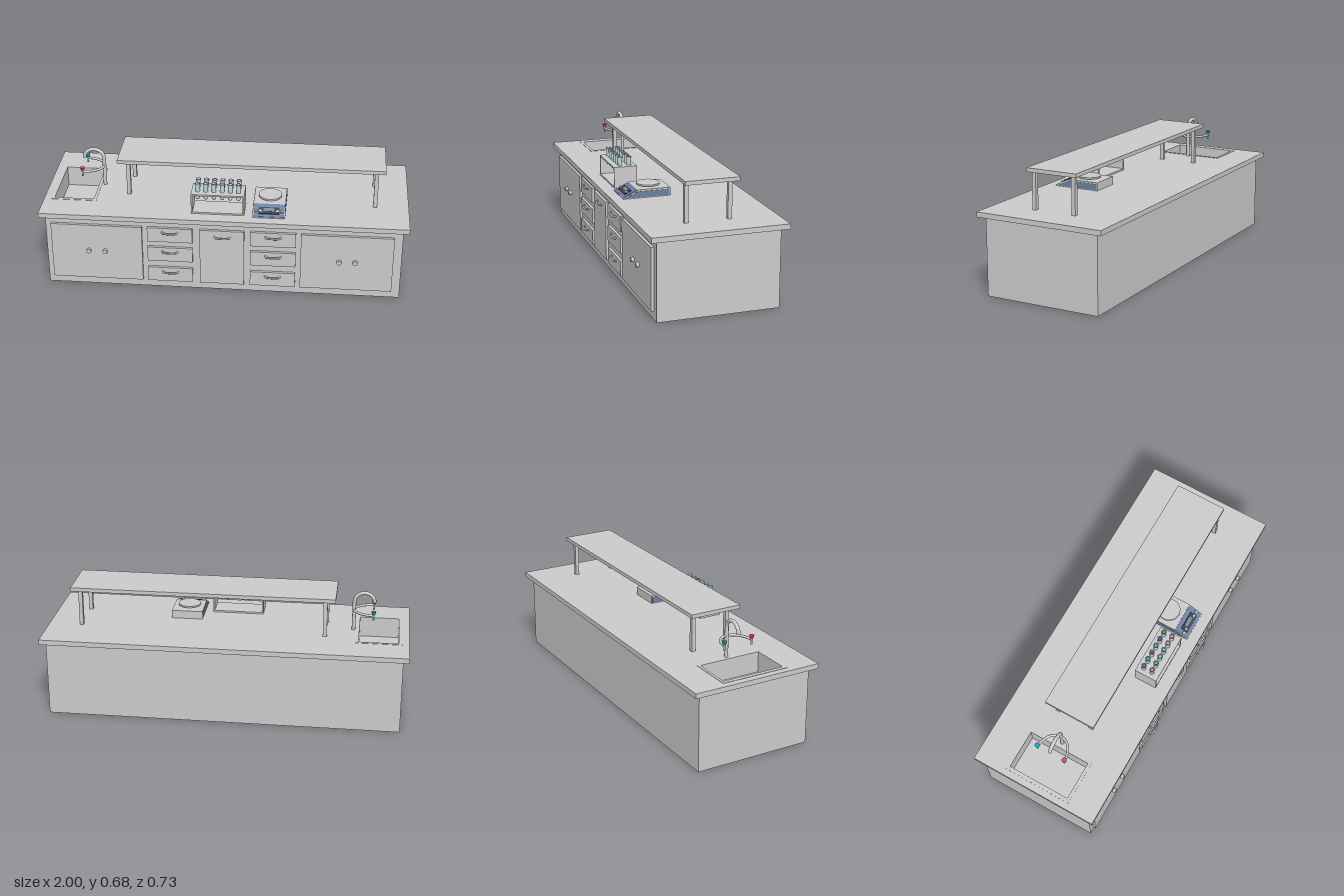
import * as THREE from 'three';

const mat = (color, side = THREE.FrontSide) => new THREE.MeshStandardMaterial({ color, side });
const grey = mat(0xcccccc);
const greyDouble = mat(0xcccccc, THREE.DoubleSide);
const glass = mat(0xc0dadb, THREE.DoubleSide);
const blue = mat(0x6a80a0);
const dark = mat(0x39424f);

function add(parent, name, geometry, material = grey) {
  const mesh = new THREE.Mesh(geometry, material);
  mesh.name = name;
  parent.add(mesh);
  return mesh;
}

// Box given by its minimum and maximum on each axis
function box(parent, name, x0, x1, y0, y1, z0, z1, material) {
  const g = new THREE.BoxGeometry(x1 - x0, y1 - y0, z1 - z0);
  g.translate((x0 + x1) / 2, (y0 + y1) / 2, (z0 + z1) / 2);
  return add(parent, name, g, material);
}

// The same box with its top face left out
function openBox(...args) {
  const mesh = box(...args);
  const index = Array.from(mesh.geometry.index.array);
  index.splice(12, 6);
  mesh.geometry.clearGroups();
  mesh.geometry.setIndex(index);
  return mesh;
}

function cylinder(parent, name, rTop, rBottom, h, x, y, z, material, sides = 24) {
  const mesh = add(parent, name, new THREE.CylinderGeometry(rTop, rBottom, h, sides), material);
  mesh.position.set(x, y, z);
  return mesh;
}

function tube(parent, name, points, radius, segments) {
  const curve = new THREE.CatmullRomCurve3(points.map(p => new THREE.Vector3(...p)));
  const mesh = add(parent, name, new THREE.TubeGeometry(curve, segments, radius, 12));
  // Closed ends
  for (const t of [0, 1]) {
    const cap = add(mesh, 'tubeEnd', new THREE.CircleGeometry(radius, 12), greyDouble);
    cap.position.copy(curve.getPoint(t));
    cap.lookAt(cap.position.clone().add(curve.getTangent(t)));
  }
  return mesh;
}

function rectPath(x0, x1, z0, z1, Type = THREE.Path) {
  return new Type([[x0, -z0], [x0, -z1], [x1, -z1], [x1, -z0]].map(p => new THREE.Vector2(...p)));
}

// Horizontal slab with one rectangular hole
function slab(parent, name, outer, hole, y, h) {
  const shape = rectPath(...outer, THREE.Shape);
  shape.holes.push(rectPath(...hole));
  const g = new THREE.ExtrudeGeometry(shape, { depth: h, bevelEnabled: false });
  g.rotateX(-Math.PI / 2).translate(0, y, 0);
  return add(parent, name, g);
}

// Side profile of [z, y] points, extruded across x
function sideProfile(parent, name, points, x, width, material) {
  const shape = new THREE.Shape(points.map(p => new THREE.Vector2(...p)));
  const g = new THREE.ExtrudeGeometry(shape, { depth: width, bevelEnabled: false });
  g.translate(0, 0, -width / 2).rotateY(-Math.PI / 2).translate(x, 0, 0);
  return add(parent, name, g, material);
}

function addCabinet(root) {
  const cabinet = new THREE.Group();
  cabinet.name = 'cabinet';
  root.add(cabinet);
  openBox(cabinet, 'body', -0.97, 0.97, 0, 0.425, -0.328, 0.328, greyDouble);
  const front = (name, x0, x1, y0, y1) => box(cabinet, name, x0, x1, y0, y1, 0.328, 0.343);
  const handle = (x, y) => tube(cabinet, 'handle', [
    [x - 0.042, y, 0.341], [x - 0.036, y - 0.001, 0.354], [x - 0.02, y - 0.001, 0.36],
    [x + 0.02, y - 0.001, 0.36], [x + 0.036, y - 0.001, 0.354], [x + 0.042, y, 0.341]], 0.005, 32);

  // Wide doors with paired knobs
  for (const [x0, knobs] of [[-0.94, [-0.735, -0.645]], [0.425, [0.634, 0.72]]]) {
    front('door', x0, x0 + 0.5, 0.045, 0.38);
    for (const x of knobs) cylinder(cabinet, 'knob', 0.013, 0.013, 0.016, x, 0.222, 0.351).rotation.x = Math.PI / 2;
  }
  // Two stacks of drawers
  for (const x0 of [-0.411, 0.151]) {
    for (const y0 of [0.045, 0.173, 0.295]) {
      front('drawer', x0, x0 + 0.247, y0, y0 + 0.086);
      handle(x0 + 0.124, y0 + 0.062);
    }
  }
  front('middleDoor', -0.124, 0.118, 0.045, 0.38);
  handle(0, 0.343);
}

function addSink(root) {
  const inner = [-0.943, -0.725, -0.172, 0.182];
  slab(root, 'countertop', [-1, 1, -0.365, 0.365], inner, 0.425, 0.028);
  slab(root, 'sinkRim', [-0.965, -0.71, -0.187, 0.2], inner, 0.453, 0.002);
  openBox(root, 'sinkBasin', inner[0], inner[1], 0.34, 0.453, inner[2], inner[3], greyDouble);

  // Swan-neck tap with a curved cross bar and two valves
  const tap = new THREE.Group();
  tap.name = 'tap';
  root.add(tap);
  const zc = 0.004;
  const neck = [[-0.692, 0.453, zc], [-0.692, 0.53, zc], [-0.692, 0.59, zc]];
  for (let i = 0; i <= 8; i++) {
    const a = (i / 8) * Math.PI;
    neck.push([-0.747 + 0.055 * Math.cos(a), 0.617 + 0.053 * Math.sin(a), zc]);
  }
  tube(tap, 'spout', neck, 0.01, 64);
  const bar = [];
  for (let i = 0; i <= 10; i++) {
    const a = (i / 10 - 0.5) * Math.PI;
    bar.push([-0.8 + 0.108 * Math.cos(a), 0.571, zc + 0.082 * Math.sin(a)]);
  }
  tube(tap, 'crossBar', bar, 0.007, 40);
  for (const [side, color] of [[1, 0xd04a60], [-1, 0x12a5b8]]) {
    const z = zc + side * 0.082;
    cylinder(tap, 'valveKnob', 0.0135, 0.007, 0.02, -0.8, 0.586, z, mat(color));
    cylinder(tap, 'valveOutlet', 0.005, 0.005, 0.03, -0.8, 0.56, z);
  }
}

function addShelf(root) {
  box(root, 'shelfBoard', -0.595, 0.865, 0.659, 0.68, -0.146, 0.146);
  for (const [x, z] of [[-0.54, 0.098], [-0.54, -0.107], [0.817, 0.126], [0.817, -0.107]]) {
    box(root, 'shelfPost', x - 0.011, x + 0.011, 0.453, 0.659, z - 0.011, z + 0.011);
  }
}

function addTubeRack(root) {
  const rack = new THREE.Group();
  rack.name = 'testTubeRack';
  root.add(rack);
  box(rack, 'rackBase', -0.175, 0.113, 0.453, 0.462, 0.162, 0.291);
  box(rack, 'rackTop', -0.175, 0.113, 0.561, 0.57, 0.162, 0.291);
  for (const x of [-0.175, 0.105]) box(rack, 'rackSide', x, x + 0.008, 0.462, 0.561, 0.162, 0.291);

  // Round-bottomed tubes with a rim and coloured contents
  const profile = [[0, 0.52], [0.006, 0.522], [0.0105, 0.527], [0.012, 0.534], [0.012, 0.611],
    [0.0145, 0.612], [0.0145, 0.618], [0.0105, 0.618], [0.0105, 0.6]].map(p => new THREE.Vector2(...p));
  const glassShape = new THREE.LatheGeometry(profile, 20);
  const colors = [0x9a5fb0, 0x3fb0c0, 0xc03a8a, 0x45b5b0, 0x4a62b0, 0x55b060,
    0xd88aa0, 0x70c0c8, 0xb5c8a0, 0x80c8d0, 0xb0b0d8, 0xd8a0a0];
  colors.forEach((color, i) => {
    const x = -0.142 + (i % 6) * 0.0442, z = i < 6 ? 0.198 : 0.248;
    add(rack, 'testTube', glassShape, glass).position.set(x, 0, z);
    cylinder(rack, 'tubeContents', 0.0105, 0.0105, 0.07, x, 0.571, z, mat(color), 16);
  });
}

function addBalance(root) {
  const balance = new THREE.Group();
  balance.name = 'balance';
  root.add(balance);
  const x = 0.246;
  sideProfile(balance, 'balanceBody', [[0.306, 0.453], [0.306, 0.457], [0.222, 0.498], [0.043, 0.498], [0.043, 0.453]], x, 0.174);
  sideProfile(balance, 'sidePanels', [[0.297, 0.457], [0.223, 0.49], [0.047, 0.49], [0.047, 0.457]], x, 0.177, blue);

  // Sloping control panel
  const panel = new THREE.Group();
  panel.name = 'controlPanel';
  panel.position.set(x, 0.4775, 0.264);
  panel.rotation.x = Math.atan2(0.041, 0.084);
  balance.add(panel);
  box(panel, 'panelFace', -0.083, 0.083, -0.002, 0.002, -0.042, 0.044, blue);
  box(panel, 'display', -0.056, 0.056, 0, 0.007, -0.016, 0.026, dark);
  box(panel, 'displayWindow', -0.03, 0.03, 0.006, 0.008, -0.01, 0.01, mat(0x7d8894));
  for (const bx of [-0.071, -0.045, 0.045, 0.071]) box(panel, 'button', bx - 0.008, bx + 0.008, 0, 0.009, 0.004, 0.014);

  // Weighing pan
  cylinder(balance, 'panSupport', 0.045, 0.045, 0.008, x, 0.501, 0.142);
  cylinder(balance, 'weighingPan', 0.063, 0.063, 0.009, x, 0.5075, 0.142, grey, 40);
}

export function createModel() {
  const root = new THREE.Group();
  root.name = 'laboratoryBench';
  addCabinet(root);
  addSink(root);
  addShelf(root);
  addTubeRack(root);
  addBalance(root);
  return root;
}
